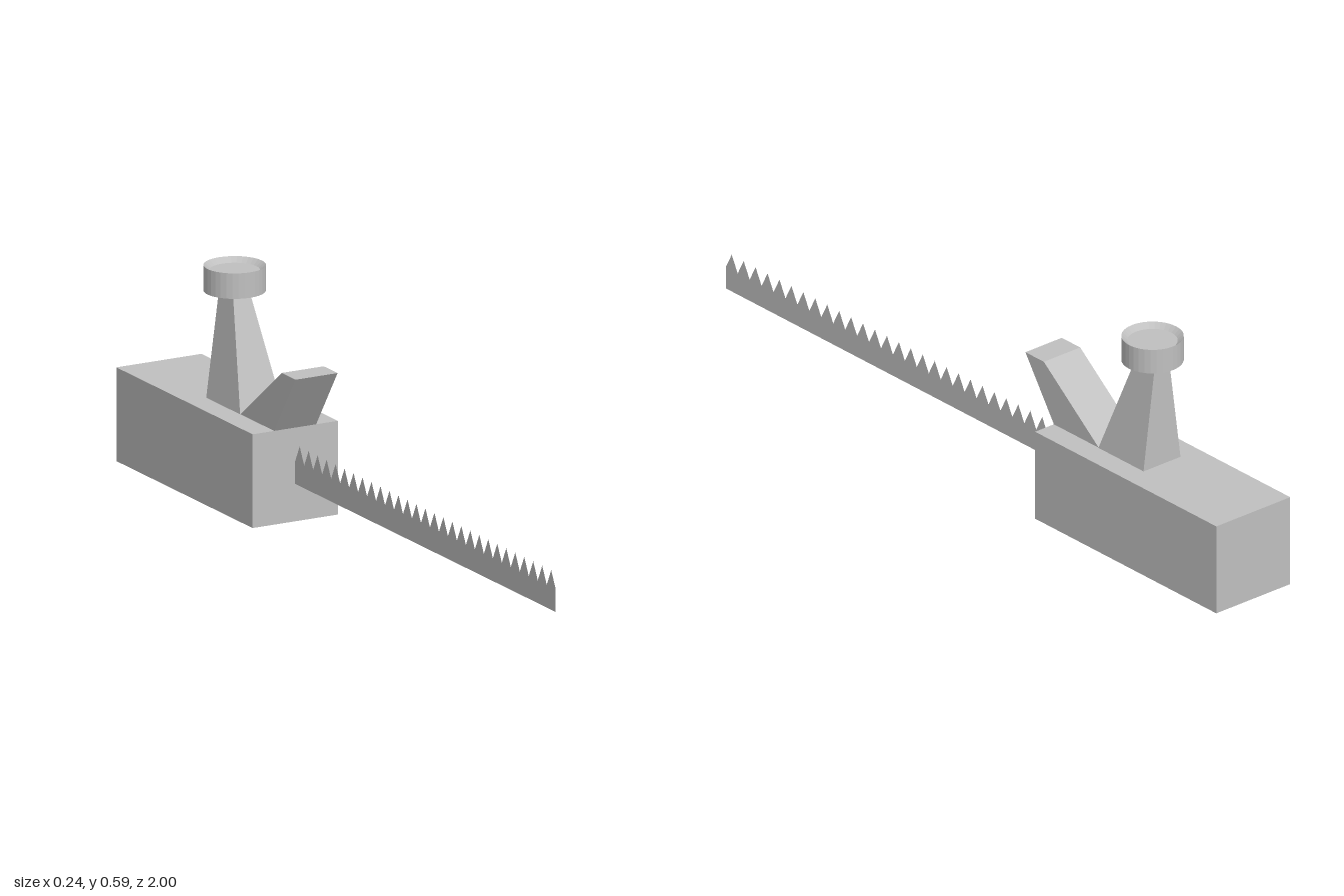
import * as THREE from 'three';

export function createModel() {
  const model = new THREE.Group();
  const grey = new THREE.MeshStandardMaterial({ color: 0xc0c0c0, flatShading: true });
  grey.name = 'grey';
  const sheetGrey = grey.clone(); // same colour, visible from both sides
  sheetGrey.side = THREE.DoubleSide;

  const add = (name, geometry, material = grey) => {
    const mesh = new THREE.Mesh(geometry, material);
    mesh.name = name;
    model.add(mesh);
    return mesh;
  };

  // Shape coordinates are (z, y); this turn maps shape x to +z
  const sideShape = (points) => new THREE.Shape(points.map(([z, y]) => new THREE.Vector2(z, y)));

  // Body block
  add('body', new THREE.BoxGeometry(0.244, 0.243, 0.687)).position.set(0, 0.1215, -0.6565);

  // Slanted spout leaning forward
  const spout = new THREE.ExtrudeGeometry(
    sideShape([[-0.483, 0.243], [-0.313, 0.243], [-0.205, 0.403], [-0.275, 0.403]]),
    { depth: 0.12, bevelEnabled: false });
  spout.translate(0, 0, -0.06).rotateY(-Math.PI / 2);
  add('spout', spout);

  // Post: a box tapered on three sides, with an upright back
  const post = new THREE.BoxGeometry(0.122, 0.279, 0.171);
  post.translate(0, 0.3825, -0.5685);
  const p = post.attributes.position;
  for (let i = 0; i < p.count; i++) {
    if (p.getY(i) < 0.4) continue;
    p.setX(i, Math.sign(p.getX(i)) * 0.024);
    if (p.getZ(i) > -0.6) p.setZ(i, -0.584);
  }
  post.computeVertexNormals();
  add('post', post);

  // Round cap with a shallow bevelled dish in its top
  const capProfile = [[0, 0.522], [0.078, 0.522], [0.078, 0.588], [0.063, 0.575], [0, 0.575]]
    .map(([r, y]) => new THREE.Vector2(r, y));
  add('cap', new THREE.LatheGeometry(capProfile, 32)).position.z = -0.618;

  // Flat toothed blade, a sheet without thickness
  const teeth = 29, back = -0.313, pitch = (1 - back) / teeth;
  const outline = [[back, 0.097], [1, 0.097], [1, 0.156]];
  for (let i = 0; i < teeth; i++) {
    const z = 1 - i * pitch;
    outline.push([z - pitch / 2, 0.2], [z - pitch, 0.156]);
  }
  add('toothedBlade', new THREE.ShapeGeometry(sideShape(outline)).rotateY(-Math.PI / 2), sheetGrey);

  return model;
}
